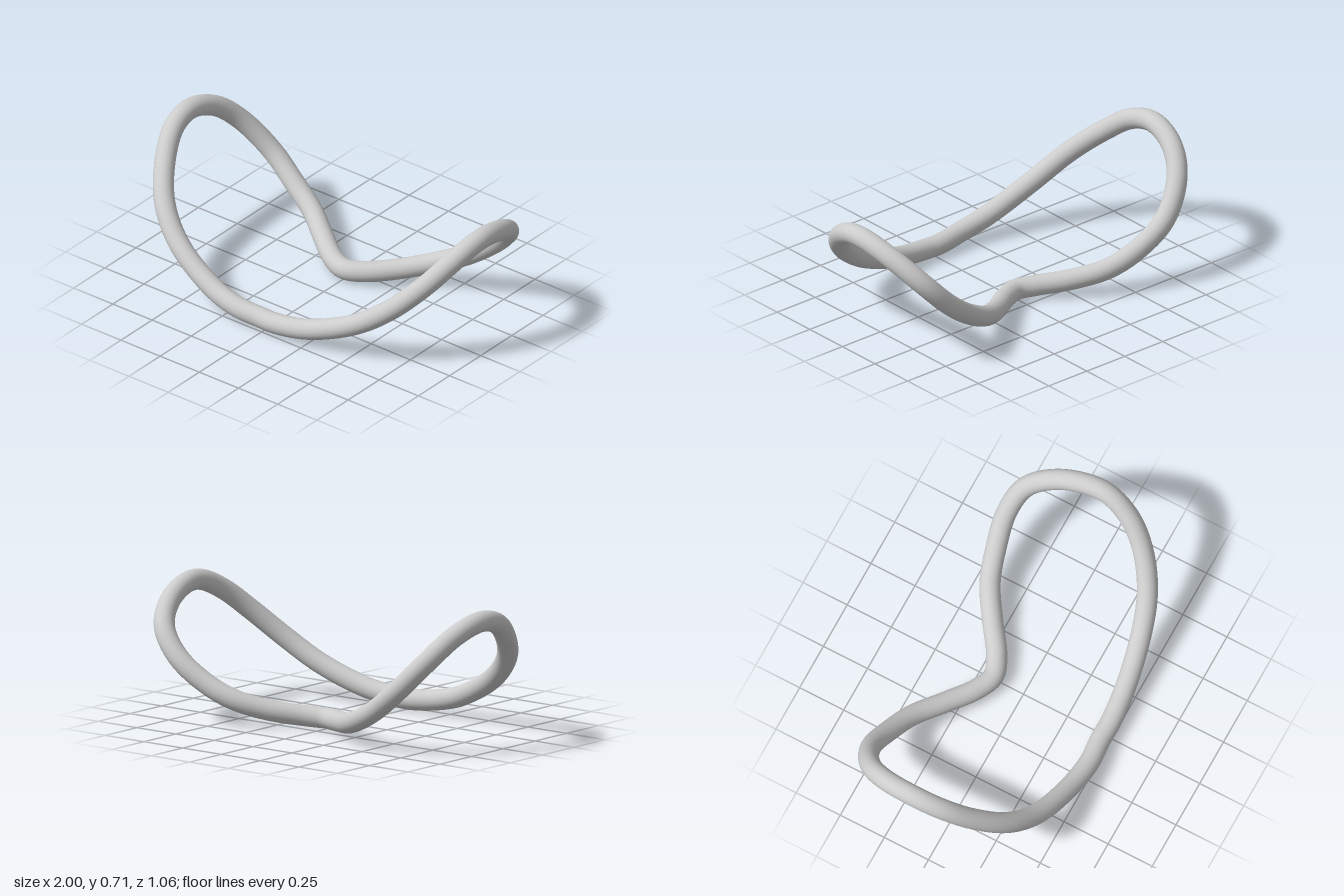
import * as THREE from 'three';

const RADIUS = 0.053;

// Plan outline of the ring (x, z), running from the back dip round the left side
const OUTLINE = [
  [0, -0.168], [0.1, -0.205], [0.25, -0.31], [0.4, -0.405], [0.55, -0.453], [0.71, -0.477],
  [0.83, -0.435], [0.905, -0.3], [0.94, -0.12], [0.938, -0.01], [0.9, 0.12], [0.82, 0.235],
  [0.68, 0.337], [0.5, 0.398], [0.25, 0.445], [0.06, 0.463], [-0.04, 0.462], [-0.18, 0.473],
  [-0.35, 0.458], [-0.6, 0.405], [-0.76, 0.32], [-0.87, 0.18], [-0.932, 0.03], [-0.947, -0.12],
  [-0.92, -0.29], [-0.85, -0.41], [-0.71, -0.48], [-0.55, -0.46], [-0.4, -0.41], [-0.25, -0.31],
  [-0.1, -0.205],
];

// The outline is wrapped onto a horizontal cylinder, so height follows x
function archHeight(x) {
  const r = x < 0 ? 1.044 : 1.064;
  return RADIUS + r - Math.sqrt(r * r - x * x);
}

export function createModel() {
  const group = new THREE.Group();
  group.name = 'saddleRing';

  // Closed round rod following the saddle-shaped path
  const points = OUTLINE.map(([x, z]) => new THREE.Vector3(x, archHeight(x), z));
  const path = new THREE.CatmullRomCurve3(points, true, 'centripetal');
  const rod = new THREE.Mesh(
    new THREE.TubeGeometry(path, 240, RADIUS, 32, true),
    new THREE.MeshStandardMaterial({ color: 0xcccccc })
  );
  rod.name = 'bentRod';
  group.add(rod);
  return group;
}
